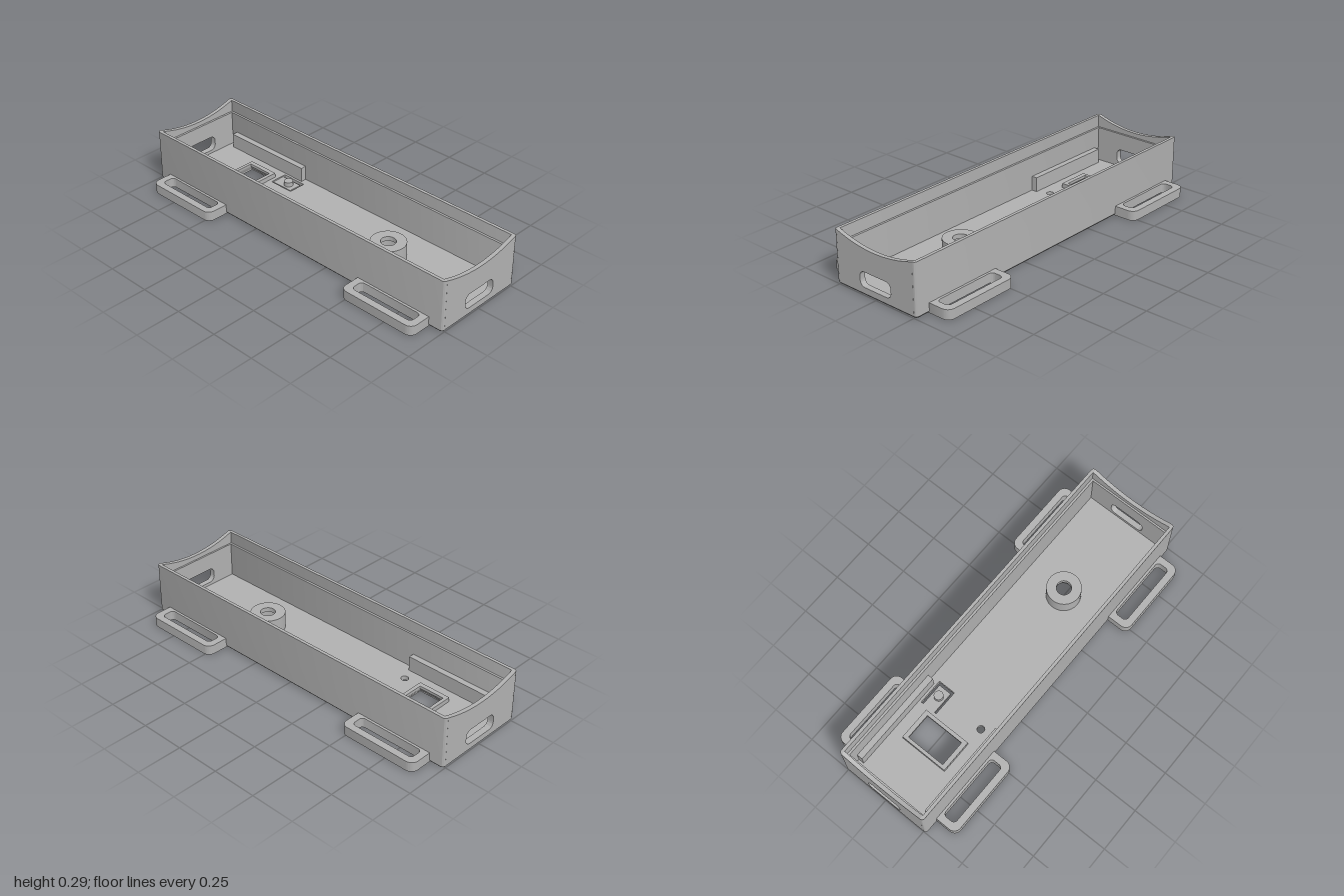
import * as THREE from 'three';
import { toCreasedNormals } from 'three/addons/utils/BufferGeometryUtils.js';

// Rounded rectangle; rLow rounds the corners at v0, rHigh those at v1
function roundedRect(u0, u1, v0, v1, rLow = 0.001, rHigh = rLow) {
  const s = new THREE.Shape();
  const q = Math.PI / 2;
  s.moveTo(u0 + rLow, v0);
  s.absarc(u1 - rLow, v0 + rLow, rLow, -q, 0, false);
  s.absarc(u1 - rHigh, v1 - rHigh, rHigh, 0, q, false);
  s.absarc(u0 + rHigh, v1 - rHigh, rHigh, q, 2 * q, false);
  s.absarc(u0 + rLow, v0 + rLow, rLow, 2 * q, 3 * q, false);
  return s;
}

function circle(u, v, r) {
  const p = new THREE.Path();
  p.absarc(u, v, r, 0, Math.PI * 2, false);
  return p;
}

const extrude = (shape, depth) =>
  toCreasedNormals(new THREE.ExtrudeGeometry(shape, { depth, bevelEnabled: false, curveSegments: 10 }), 0.6);

// Plan shape (u = x, v = -z) raised from y0 to y1
const slab = (shape, y0, y1) => extrude(shape, y1 - y0).rotateX(-Math.PI / 2).translate(0, y0, 0);

// Skin through plan outlines, each given as { shape, y }
function loft(rings) {
  const pos = [], index = [];
  const outlines = rings.map((r) => r.shape.getPoints(6));
  const n = outlines[0].length;
  outlines.forEach((pts, i) => pts.forEach((p) => pos.push(p.x, rings[i].y, -p.y)));
  for (let i = 0; i < rings.length - 1; i++) {
    for (let j = 0; j < n; j++) {
      const a = i * n + j, b = i * n + (j + 1) % n;
      index.push(a, b, b + n, a, b + n, a + n);
    }
  }
  const g = new THREE.BufferGeometry();
  g.setAttribute('position', new THREE.Float32BufferAttribute(pos, 3));
  g.setIndex(index);
  return toCreasedNormals(g, 0.6);
}

// End panel with a cable slot; its top is either level or a shallow arc
function endPanel(x0, thickness, halfWidth, levelTop) {
  const s = new THREE.Shape();
  s.moveTo(-halfWidth, 0.01);
  s.lineTo(halfWidth, 0.01);
  for (let i = 0; i <= 32; i++) {
    const t = 1 - i / 16;
    s.lineTo(halfWidth * t, levelTop ?? 0.245 + 0.043 * t * t);
  }
  s.holes.push(roundedRect(-0.103, 0.103, 0.043, 0.125, 0.03));
  return extrude(s, thickness).rotateY(Math.PI / 2).translate(x0, 0, 0);
}

export function createModel() {
  const model = new THREE.Group();
  const grey = new THREE.MeshStandardMaterial({ color: 0xb0b0b0, side: THREE.DoubleSide });
  grey.name = 'grey plastic';
  const add = (name, geometry) => {
    const mesh = new THREE.Mesh(geometry, grey);
    mesh.name = name;
    model.add(mesh);
    return mesh;
  };

  // Floor with its openings and a chamfered lower edge
  const inset = () => roundedRect(-0.992, 0.992, -0.259, 0.259, 0.014);
  const floor = inset();
  floor.holes.push(
    circle(0.428, 0, 0.075),
    circle(-0.418, -0.137, 0.02),
    roundedRect(-0.7, -0.525, -0.133, 0.135),
    roundedRect(-0.5, -0.355, 0.093, 0.193)
  );
  add('floor', slab(floor, 0, 0.025));
  add('bottomChamfer', loft([
    { shape: inset(), y: 0 },
    { shape: roundedRect(-1, 1, -0.267, 0.267, 0.017), y: 0.01 },
  ]));

  for (const side of [0, 1]) {
    const turn = side * Math.PI;
    // Long walls with an inner ledge
    add('sideWall', slab(roundedRect(-1, 1, 0.25, 0.267, 0.001, 0.0165), 0.01, 0.288)).rotation.y = turn;
    add('sideLedge', slab(roundedRect(-0.978, 0.978, 0.238, 0.2505), 0.02, 0.22)).rotation.y = turn;

    // Strap loops
    for (const x of [-0.694, 0.694]) {
      const loop = roundedRect(x - 0.224, x + 0.224, 0.26, 0.39, 0.001, 0.04);
      loop.holes.push(roundedRect(x - 0.186, x + 0.186, 0.28, 0.352, 0.022));
      add('strapLoop', slab(loop, 0, 0.053)).rotation.y = turn;
    }

    // Inner rails near the left end of the tray
    const rail = new THREE.BoxGeometry(0.545, 0.087, 0.034);
    add('innerRail', rail.translate(-0.657, 0.0635, side ? 0.223 : -0.223));
  }

  // End walls and their ledges
  add('rightEndWall', endPanel(0.978, 0.022, 0.25));
  add('leftEndWall', endPanel(-1, 0.022, 0.25));
  add('rightEndLedge', endPanel(0.968, 0.0105, 0.238, 0.22));
  add('leftEndLedge', endPanel(-0.9785, 0.0125, 0.238, 0.22));

  // Round screw boss with a wide pocket below
  const bossProfile = [[0.093, 0.02], [0.093, 0.115], [0.04, 0.115], [0.04, 0.09], [0.075, 0.09], [0.075, 0]];
  const boss = new THREE.LatheGeometry(bossProfile.map(([r, y]) => new THREE.Vector2(r, y)), 48);
  add('screwBoss', toCreasedNormals(boss, 0.6).translate(0.428, 0, 0));

  // Window frame, flared towards the underside
  const outer = () => roundedRect(-0.705, -0.52, -0.137, 0.14);
  const inner = () => roundedRect(-0.687, -0.54, -0.112, 0.115);
  add('windowFrame', loft([
    { shape: outer(), y: 0.02 },
    { shape: outer(), y: 0.05 },
    { shape: inner(), y: 0.05 },
    { shape: inner(), y: 0.035 },
    { shape: roundedRect(-0.7, -0.525, -0.133, 0.135), y: 0.008 },
  ]));

  // Flexible push tab with a round pin
  add('pushTab', new THREE.BoxGeometry(0.135, 0.018, 0.075).translate(-0.4375, 0.009, -0.143));
  add('pushPin', new THREE.CylinderGeometry(0.025, 0.025, 0.03, 32).translate(-0.42, 0.028, -0.143));

  return model;
}
